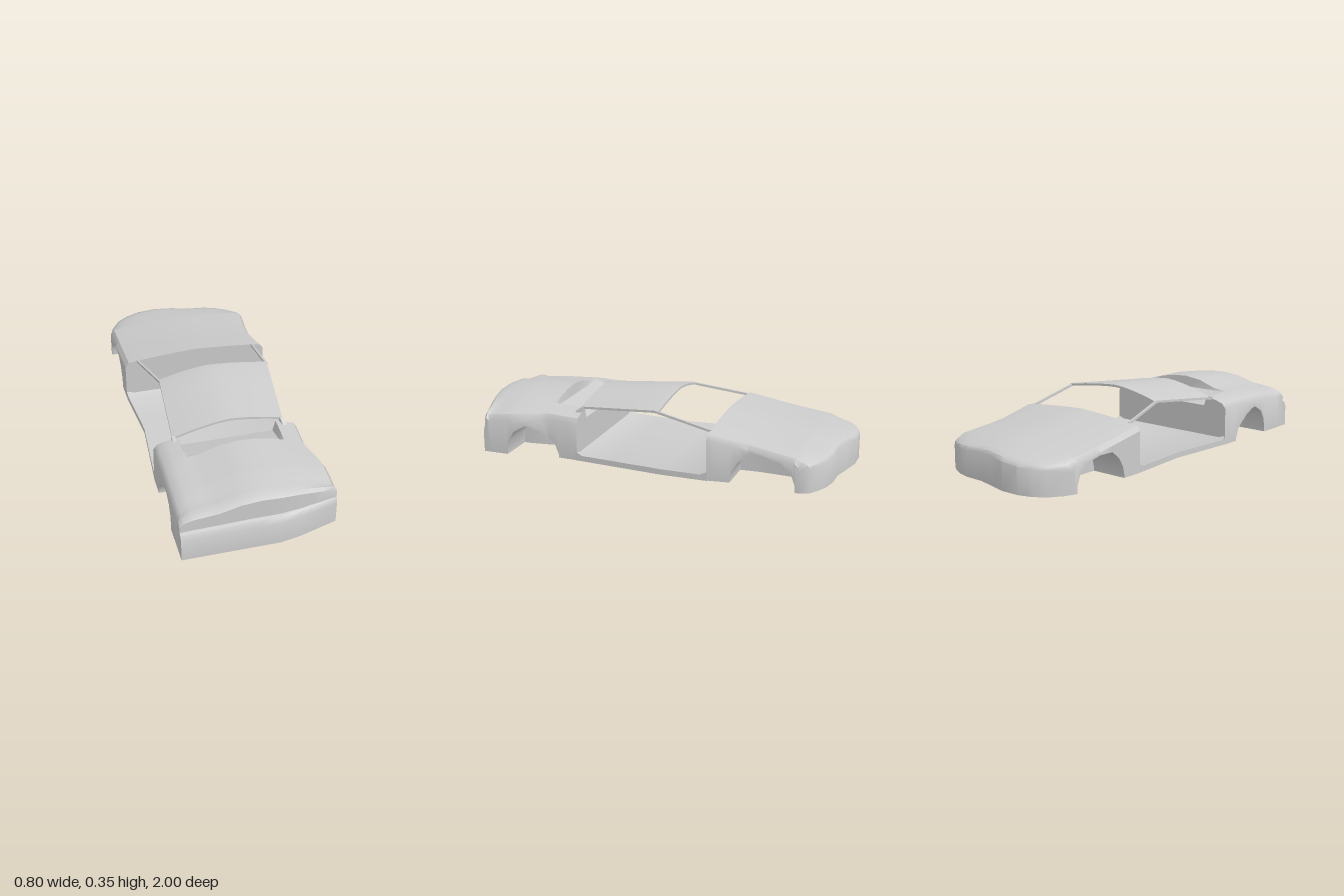
import * as THREE from 'three';
import { toCreasedNormals } from 'three/addons/utils/BufferGeometryUtils.js';

const material = new THREE.MeshStandardMaterial({ color: 0xcccccc });

// Piecewise linear curve through [position, value] pairs in ascending order
function curve(points, v) {
  if (v <= points[0][0]) return points[0][1];
  for (let i = 1; i < points.length; i++) {
    const [a, ya] = points[i - 1], [b, yb] = points[i];
    if (v <= b) return ya + (yb - ya) * (v - a) / (b - a);
  }
  return points[points.length - 1][1];
}

// Closed shell through stations (ascending z); each has matching bottom and top rows of points
function loft(name, stations) {
  const n = stations[0].top.length, pos = [], idx = [];
  for (const s of stations) for (const p of [...s.bottom, ...[...s.top].reverse()]) pos.push(...p);
  const m = 2 * n, last = (stations.length - 1) * m;
  const quad = (a, b, c, d) => idx.push(a, b, c, a, c, d);
  for (let i = 0; i < stations.length - 1; i++)
    for (let j = 0; j < m; j++) {
      const k = (j + 1) % m;
      quad(i * m + j, i * m + k, (i + 1) * m + k, (i + 1) * m + j);
    }
  for (let j = 0; j < n - 1; j++) {
    quad(last + j, last + j + 1, last + m - 2 - j, last + m - 1 - j);
    quad(j + 1, j, m - 1 - j, m - 2 - j);
  }
  const geo = new THREE.BufferGeometry();
  geo.setAttribute('position', new THREE.Float32BufferAttribute(pos, 3));
  geo.setIndex(idx);
  const mesh = new THREE.Mesh(toCreasedNormals(geo, 0.7), material);
  mesh.name = name;
  return mesh;
}

// Positions across the body; the doubled 0.5 makes the inner wall of the wheel wells
const ACROSS = [-1, -.95, -.83, -.68, -.64, -.5, -.5, -.25, 0, .25, .5, .5, .64, .68, .83, .95, 1];

function bodyBlock(name, zs, { left, right, arch, top, warp }) {
  return loft(name, zs.map((z) => {
    const a = curve(arch, z);
    const x = (u) => u * (u < 0 ? left : curve(right, z));
    return {
      bottom: ACROSS.map((u, k) => [x(u), k <= 5 || k >= 11 ? a : 0, warp(u, z)]),
      top: ACROSS.map((u) => [x(u), top(u, z), warp(u, z)]),
    };
  }));
}

function beam(name, from, to, size) {
  const a = new THREE.Vector3(...from), b = new THREE.Vector3(...to);
  const mesh = new THREE.Mesh(new THREE.BoxGeometry(size, size, a.distanceTo(b)), material);
  mesh.position.copy(a).add(b).multiplyScalar(0.5);
  mesh.lookAt(b);
  mesh.name = name;
  return mesh;
}

// Front deck with bumper, window recess and wheel wells
function frontBody() {
  const arch = [[.499, 0], [.5, .02], [.52, .07], [.6, .135], [.65, .158], [.68, .165],
    [.74, .13], [.77, .08], [.78, .02], [.781, 0]];
  const drop = [[-1, .105], [-.95, .078], [-.83, .062], [-.5, .045], [-.25, .012], [0, 0],
    [.25, .006], [.5, .022], [.83, .062], [.95, .075], [1, .105]];
  const centre = [[.39, .303], [.56, .308], [.8, .295], [.94, .275], [.968, .26]];
  const bumper = [[.969, .158], [.985, .152], [1, .125]];
  const end = [[-1, 1], [.25, 1], [.5, .98], [1, .92]];
  const zs = [.39, .45, .554, .559, ...arch.map((p) => p[0]), .85, .9, .94, .968, .969, .985, 1];
  return bodyBlock('frontBody', zs.sort((a, b) => a - b), {
    left: .4,
    right: [[.39, .36], [.56, .35], [.72, .4], [1, .4]],
    arch,
    top: (u, z) => {
      if (z > .9685) return curve(bumper, z) - curve(drop, u) * .12;
      if (z < .556 && Math.abs(u) < .66) return .2 + (z - .39) * .3;
      return curve(centre, z) - curve(drop, u) * (z > .9 ? .8 : 1);
    },
    warp: (u, z) => z < .88 ? z : .88 + (z - .88) * (curve(end, u) - .88) / .12,
  });
}

// Rear hood with rounded tail and wheel wells
function rearBody() {
  const arch = [[-.8, 0], [-.799, .04], [-.78, .09], [-.72, .135], [-.64, .152], [-.55, .15],
    [-.5, .11], [-.47, .06], [-.461, .02], [-.46, 0]];
  const drop = [[0, 0], [.25, .005], [.5, .012], [.83, .024], [.95, .032], [1, .056]];
  const centre = [[-1, .15], [-.985, .168], [-.95, .177], [-.8, .202], [-.6, .228], [-.34, .272]];
  const end = [[-1, -.82], [-.95, -.87], [-.83, -.94], [-.7, -.975], [-.5, -1], [-.25, -1],
    [.25, -.95], [.5, -.948], [.75, -.925], [.95, -.87], [1, -.82]];
  const zs = [-1, -.985, -.95, -.9, -.85, ...arch.map((p) => p[0]), -.42, -.38, -.34];
  return bodyBlock('rearBody', zs, {
    left: .4,
    right: [[-.8, .4], [-.57, .37], [-.34, .395]],
    arch,
    top: (u, z) => curve(centre, z) - curve(drop, Math.abs(u)),
    warp: (u, z) => z > -.81 ? z : -.81 + (z + .81) * (curve(end, u) + .81) / -.19,
  });
}

// Cabin floor with slightly raised sills
function cabinFloor() {
  const left = [[-.35, .4], [0, .37], [.4, .4]], right = [[-.35, .4], [-.1, .4], [.4, .36]];
  const us = [-1, -.97, -.9, 0, .9, .97, 1];
  return loft('cabinFloor', [-.35, -.31, -.1, 0, .2, .36, .4].map((z) => {
    const x = (u) => u * curve(u < 0 ? left : right, z);
    const rise = Math.max(0, -.31 - z, z - .36) * .5;
    return {
      bottom: us.map((u) => [x(u), 0, z]),
      top: us.map((u) => [x(u), (Math.abs(u) > .95 ? .03 : .02) + rise, z]),
    };
  }));
}

// Thin arched roof panel
function roof() {
  const us = Array.from({ length: 13 }, (_, i) => i / 6 - 1);
  return loft('roof', [-.06, -.03, .1, .2, .3, .39].map((z) => {
    const t = (z + .06) / .45;
    const row = (lift) => us.map((u) => {
      const x = u < 0 ? u * (.27 + .03 * t) : u * (.33 - .05 * t);
      const fall = u < 0 ? .052 + .014 * t : .037 + .006 * t;
      const edge = z < -.05 ? .004 : 0;
      return [x, .355 - .037 * t - fall * Math.abs(u) ** 1.5 - edge + lift, z];
    });
    return { bottom: row(-.012), top: row(0) };
  }));
}

export function createModel() {
  const car = new THREE.Group();
  car.name = 'carBody';
  car.add(frontBody(), rearBody(), cabinFloor(), roof());
  // Windscreen pillars and short posts at the other end of the roof
  car.add(
    beam('rightWindscreenPillar', [-.265, .296, -.04], [-.33, .243, -.345], .012),
    beam('leftWindscreenPillar', [.325, .311, -.04], [.33, .243, -.345], .012),
    beam('rightRoofPost', [-.295, .248, .38], [-.29, .235, .42], .02),
    beam('leftRoofPost', [.275, .268, .38], [.285, .24, .42], .02),
  );
  return car;
}
